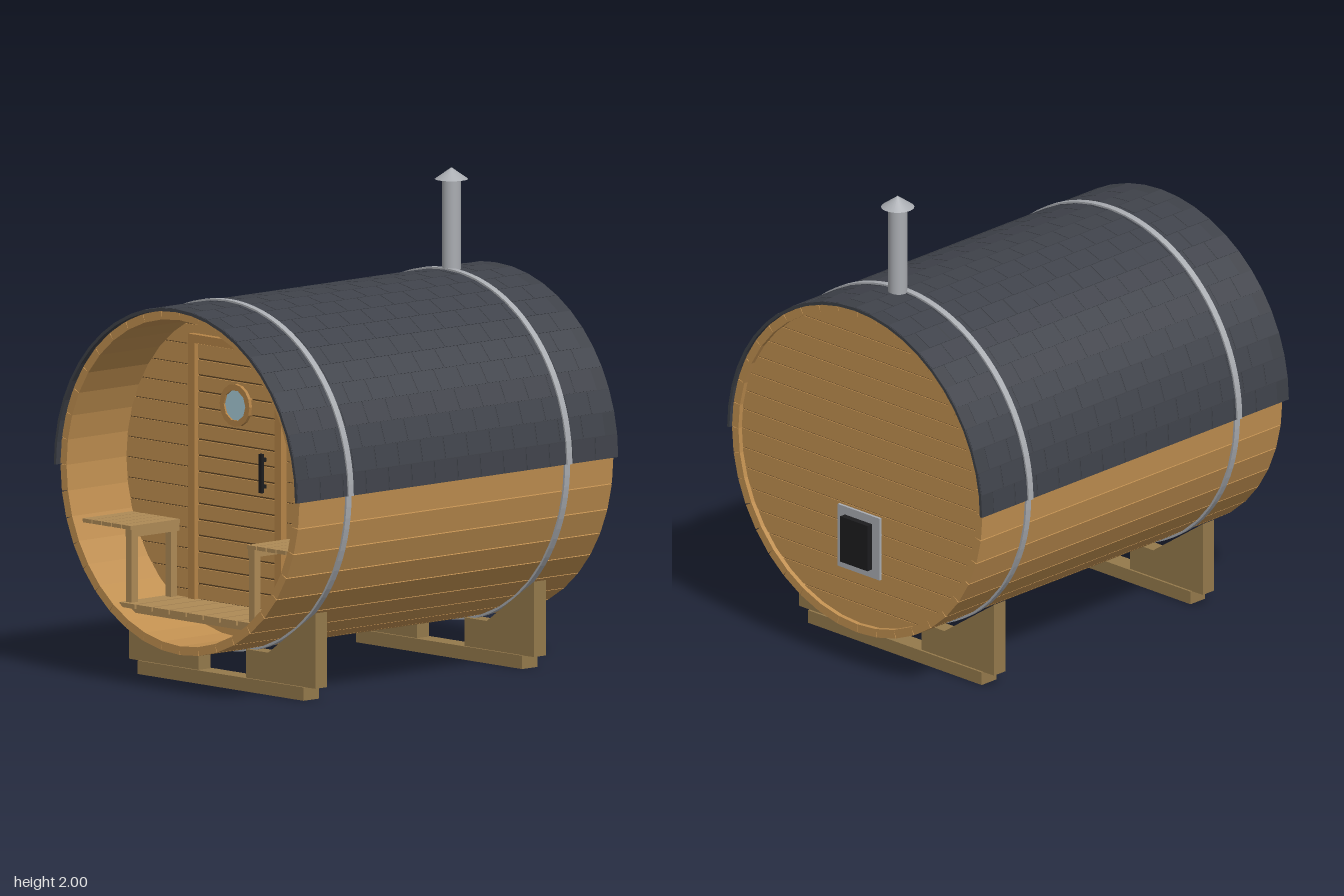
import * as THREE from 'three';
import { mergeGeometries } from 'three/addons/utils/BufferGeometryUtils.js';

const CY = 0.863;          // barrel axis height
const R = 0.706, RI = 0.67; // stave outer and inner radius
const mat = (color) => new THREE.MeshStandardMaterial({ color });
const wood = mat(0xc08f50), trim = mat(0xb58447), groove = mat(0x5f4526), timber = mat(0x94794b);
const slatWood = mat(0xae8a56), felt = mat(0x3d4047), shingle = mat(0x3f424a);
const steel = mat(0xa9acb1), black = mat(0x1c1c1e), glassMat = mat(0xa6c9d6);

function add(parent, name, geometry, material, x = 0, y = 0, z = 0) {
  const mesh = new THREE.Mesh(geometry, material);
  mesh.name = name;
  mesh.position.set(x, y, z);
  parent.add(mesh);
  return mesh;
}

// Box given by its min and max corners
function box(parent, name, material, x0, x1, y0, y1, z0, z1) {
  return add(parent, name, new THREE.BoxGeometry(x1 - x0, y1 - y0, z1 - z0), material,
    (x0 + x1) / 2, (y0 + y1) / 2, (z0 + z1) / 2);
}

function extrude(points, z0, z1, holes = []) {
  const shape = new THREE.Shape(points.map(([x, y]) => new THREE.Vector2(x, y)));
  for (const h of holes) shape.holes.push(new THREE.Path(h.map(([x, y]) => new THREE.Vector2(x, y))));
  return new THREE.ExtrudeGeometry(shape, { depth: z1 - z0, bevelEnabled: false, steps: 1 })
    .translate(0, 0, z0);
}

// Points on an arc from angle a0 to a1
function arc(r, a0, a1, n) {
  return Array.from({ length: n + 1 }, (_, i) => {
    const a = a0 + (a1 - a0) * i / n;
    return [r * Math.cos(a), r * Math.sin(a)];
  });
}

// Curved shell along z between two radii
const shell = (r0, r1, a0, a1, n, z0, z1) =>
  extrude([...arc(r1, a0, a1, n), ...arc(r0, a1, a0, n)], z0, z1);

// Staves with a narrow V-groove between neighbours
function buildBarrel(group) {
  const count = 40, step = Math.PI * 2 / count, gap = 0.003;
  const staves = [];
  for (let i = 0; i < count; i++) {
    const a = i * step, b = a + step;
    staves.push(extrude([...arc(R, a + gap, b - gap, 1), ...arc(RI, b, a, 1)], -0.88, 0.875));
  }
  add(group, 'barrelStaves', mergeGeometries(staves), wood, 0, CY, 0);
}

// Round end wall: dark core faced with horizontal planks on one side
function plankWall(group, name, zCore, zFace) {
  const r = 0.672, count = 16, h = 2 * r / count, gap = 0.002;
  const out = Math.sign(zFace - zCore);
  add(group, name + 'Core', extrude(arc(r, 0, Math.PI * 2, 64).slice(0, -1),
    Math.min(zCore, zFace - out * 0.004), Math.max(zCore, zFace - out * 0.004)), groove, 0, CY, 0);
  const planks = [];
  for (let i = 0; i < count; i++) {
    const a0 = Math.asin(Math.max(-1, (-r + i * h + gap) / r));
    const a1 = Math.asin(Math.min(1, (-r + (i + 1) * h - gap) / r));
    const right = arc(r, a0, a1, 6);
    const left = right.map(([x, y]) => [-x, y]).reverse();
    planks.push(extrude([...right, ...left],
      Math.min(zFace, zFace - out * 0.012), Math.max(zFace, zFace - out * 0.012)));
  }
  add(group, name + 'Planks', mergeGeometries(planks), wood, 0, CY, 0);
}

// Half-round roof with staggered shingle tabs
function buildRoof(group) {
  const courses = 24, step = Math.PI / courses, rows = 14, len = 1.795 / rows;
  add(group, 'roofShell', shell(R, 0.719, 0, Math.PI, courses, -0.895, 0.9), felt, 0, CY, 0);
  const tabs = [];
  for (let i = 0; i < courses; i++) {
    const a = (i + 0.5) * step;
    for (let j = 0; j < rows; j++) {
      const odd = i % 2;
      if (odd && j === rows - 1) continue;
      const z = -0.895 + (j + 0.5 + odd * 0.5) * len;
      tabs.push(new THREE.BoxGeometry(0.003, 0.09, len - 0.008)
        .translate(0.719 * Math.cos(step / 2), 0, 0).rotateZ(a).translate(0, 0, z));
    }
  }
  add(group, 'roofShingles', mergeGeometries(tabs), shingle, 0, CY, 0);
}

// Steel hoop: over the roof above, tight on the staves below
function buildHoop(group, z) {
  add(group, 'hoopTop', shell(0.715, 0.727, 0, Math.PI, 48, z - 0.014, z + 0.014), steel, 0, CY, 0);
  add(group, 'hoopBottom', shell(0.7, 0.714, Math.PI, Math.PI * 2, 48, z - 0.014, z + 0.014), steel, 0, CY, 0);
}

// Cradle: two notched blocks on a foot beam
function buildCradle(group, z) {
  const side = [[0.14, 0.05], [0.55, 0.055], [0.55, 0.365], [0.27, 0.172], [0.14, 0.172]];
  const mirrored = side.map(([x, y]) => [-x, y]).reverse();
  add(group, 'cradleLeft', extrude(side, z - 0.033, z + 0.033), timber);
  add(group, 'cradleRight', extrude(mirrored, z - 0.033, z + 0.033), timber);
  box(group, 'cradleFoot', timber, -0.49, 0.49, 0, 0.055, z - 0.043, z + 0.043);
}

function buildDoor(group, z) {
  const door = new THREE.Group();
  door.name = 'door';
  group.add(door);
  // Frame
  for (const s of [-1, 1])
    box(door, 'doorJamb', trim, s * 0.255 - 0.02, s * 0.255 + 0.02, 0.31, 1.415, z - 0.01, z + 0.03);
  box(door, 'doorHead', trim, -0.235, 0.235, 1.38, 1.415, z - 0.01, z + 0.03);
  // Planked leaf
  box(door, 'doorCore', groove, -0.235, 0.235, 0.325, 1.38, z - 0.01, z + 0.006);
  const n = 16, h = (1.38 - 0.325) / n;
  for (let i = 0; i < n; i++)
    box(door, 'doorPlank', wood, -0.232, 0.232, 0.325 + i * h + 0.004, 0.325 + (i + 1) * h - 0.004, z, z + 0.015);
  // Round window
  const full = Math.PI * 2;
  add(door, 'windowRing', extrude(arc(0.088, 0, full, 16).slice(0, -1), z, z + 0.03,
    [arc(0.064, 0, full, 10).slice(0, -1)]), trim, 0, 1.15, 0);
  add(door, 'windowGlass', extrude(arc(0.066, 0, full, 10).slice(0, -1), z, z + 0.022), glassMat, 0, 1.15, 0);
  // Handle
  box(door, 'handle', black, 0.157, 0.175, 0.81, 0.97, z + 0.03, z + 0.045);
  for (const y of [0.835, 0.945])
    box(door, 'handlePost', black, 0.16, 0.172, y - 0.008, y + 0.008, z + 0.01, z + 0.032);
}

// Porch floor and the two side benches
function buildPorch(group, zBack, zFront) {
  for (let i = 0; i < 8; i++) {
    const x = -0.35 + i * 0.1;
    box(group, 'floorSlat', slatWood, x - 0.045, x + 0.045, 0.308, 0.327, zBack, zFront);
  }
  for (const z of [zBack + 0.05, zFront - 0.05])
    box(group, 'floorJoist', slatWood, -0.38, 0.38, 0.285, 0.308, z - 0.015, z + 0.015);
  for (const s of [-1, 1]) {
    const bench = new THREE.Group();
    bench.name = s > 0 ? 'benchLeft' : 'benchRight';
    group.add(bench);
    for (let i = 0; i < 5; i++) {
      const x = s * (0.37 + i * 0.058);
      box(bench, 'benchSlat', slatWood, x - 0.026, x + 0.026, 0.627, 0.643, zBack, zFront - 0.015);
    }
    const x = s * 0.363;
    box(bench, 'benchRail', slatWood, x - 0.018, x + 0.018, 0.595, 0.627, zBack, zFront - 0.02);
    for (const z of [zBack + 0.03, zFront - 0.04])
      box(bench, 'benchLeg', slatWood, x - 0.017, x + 0.017, 0.327, 0.597, z - 0.017, z + 0.017);
  }
}

export function createModel() {
  const group = new THREE.Group();
  group.name = 'barrelSauna';
  buildBarrel(group);
  plankWall(group, 'frontWall', 0.5, 0.54);
  plankWall(group, 'backWall', -0.82, -0.86);
  buildRoof(group);
  for (const z of [0.605, -0.617]) {
    buildHoop(group, z);
    buildCradle(group, z);
  }
  buildDoor(group, 0.54);
  buildPorch(group, 0.55, 0.84);
  // Stove hatch on the back
  box(group, 'hatchPlate', steel, -0.118, 0.118, 0.415, 0.685, -0.872, -0.855);
  box(group, 'hatchDoor', black, -0.077, 0.077, 0.452, 0.65, -0.9, -0.86);
  // Chimney
  add(group, 'chimneyPipe', new THREE.CylinderGeometry(0.039, 0.039, 0.46, 24), steel, 0, 1.73, -0.643);
  add(group, 'chimneyCap', new THREE.ConeGeometry(0.068, 0.048, 24), steel, 0, 1.976, -0.643);
  return group;
}
